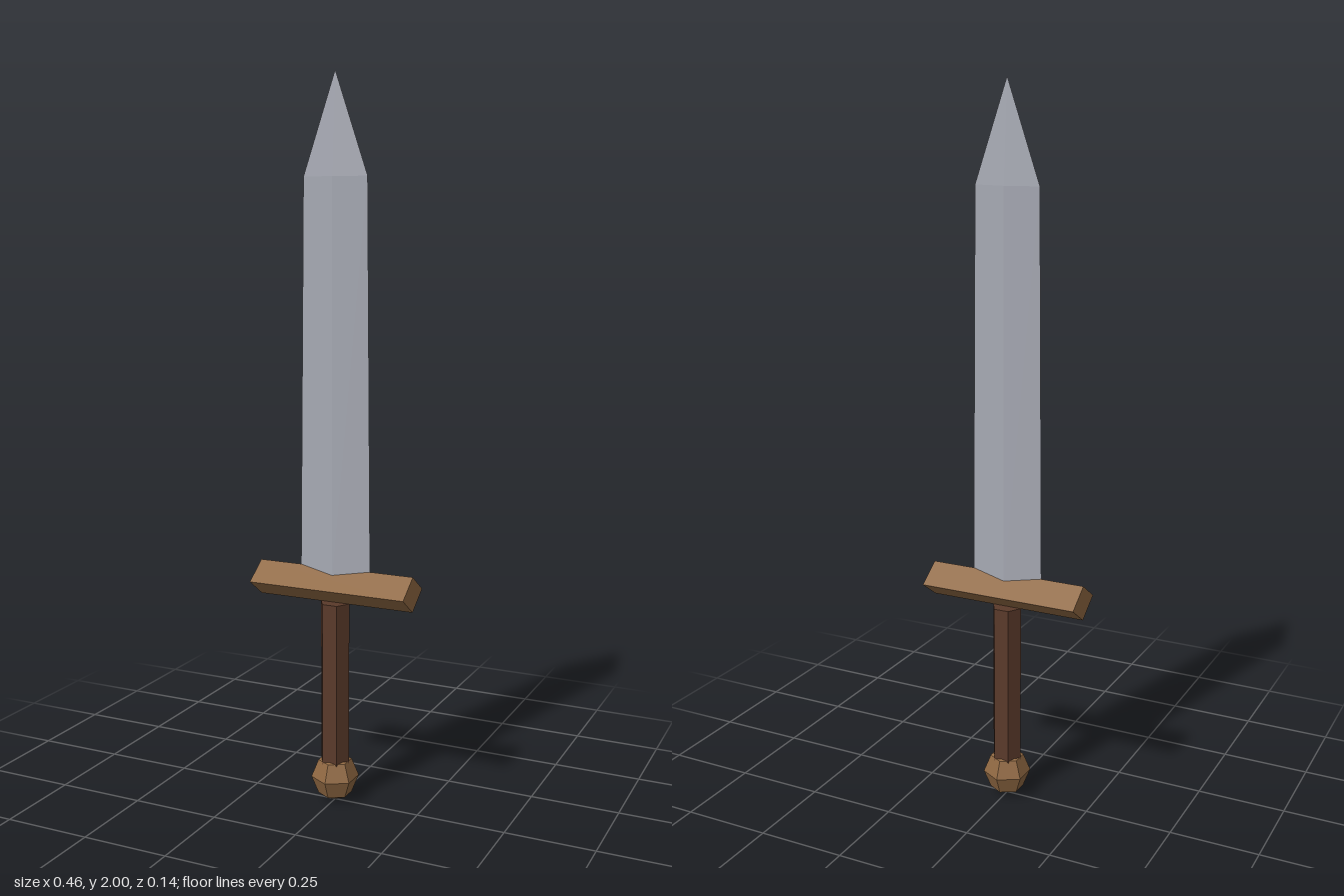
import * as THREE from 'three';

const STEEL = 0xa6a9b3, WOOD = 0x8f6842, LEATHER = 0x5a3a2a;

function part(name, geometry, color) {
  const material = new THREE.MeshStandardMaterial({ color, flatShading: true });
  const mesh = new THREE.Mesh(geometry, material);
  mesh.name = name;
  return mesh;
}

// Flat-sided prism or cone standing between two heights
function tapered(rTop, rBottom, y0, y1, sides, open = false, turn = 0) {
  return new THREE.CylinderGeometry(rTop, rBottom, y1 - y0, sides, 1, open, turn)
    .translate(0, (y0 + y1) / 2, 0);
}

export function createModel() {
  const sword = new THREE.Group();
  sword.name = 'sword';

  // Blade: diamond section, slightly tapering, then a point
  const blade = new THREE.Group();
  blade.name = 'blade';
  blade.add(
    part('bladeBody', tapered(0.093, 0.105, 0.63, 1.73, 4, true).scale(1, 1, 0.21), STEEL),
    part('bladeTip', tapered(0, 0.093, 1.73, 2, 4, true).scale(1, 1, 0.21), STEEL)
  );

  // Crossguard: diamond-section bar lying along x
  const guard = part('crossguard',
    new THREE.CylinderGeometry(1, 1, 0.46, 4).rotateZ(Math.PI / 2)
      .scale(1, 0.049, 0.069).translate(0, 0.625, 0), WOOD);

  // Grip: hexagonal, with corners to the left and right
  const grip = part('grip', tapered(0.043, 0.043, 0.1, 0.577, 6, false, Math.PI / 6), LEATHER);

  // Pommel: six-sided faceted ball, with corners to the front and back
  const profile = [[0, 0], [0.047, 0.021], [0.067, 0.07], [0.047, 0.119], [0, 0.136]]
    .map(([r, y]) => new THREE.Vector2(r, y));
  const pommel = part('pommel', new THREE.LatheGeometry(profile, 6), WOOD);

  sword.add(blade, guard, grip, pommel);
  return sword;
}
